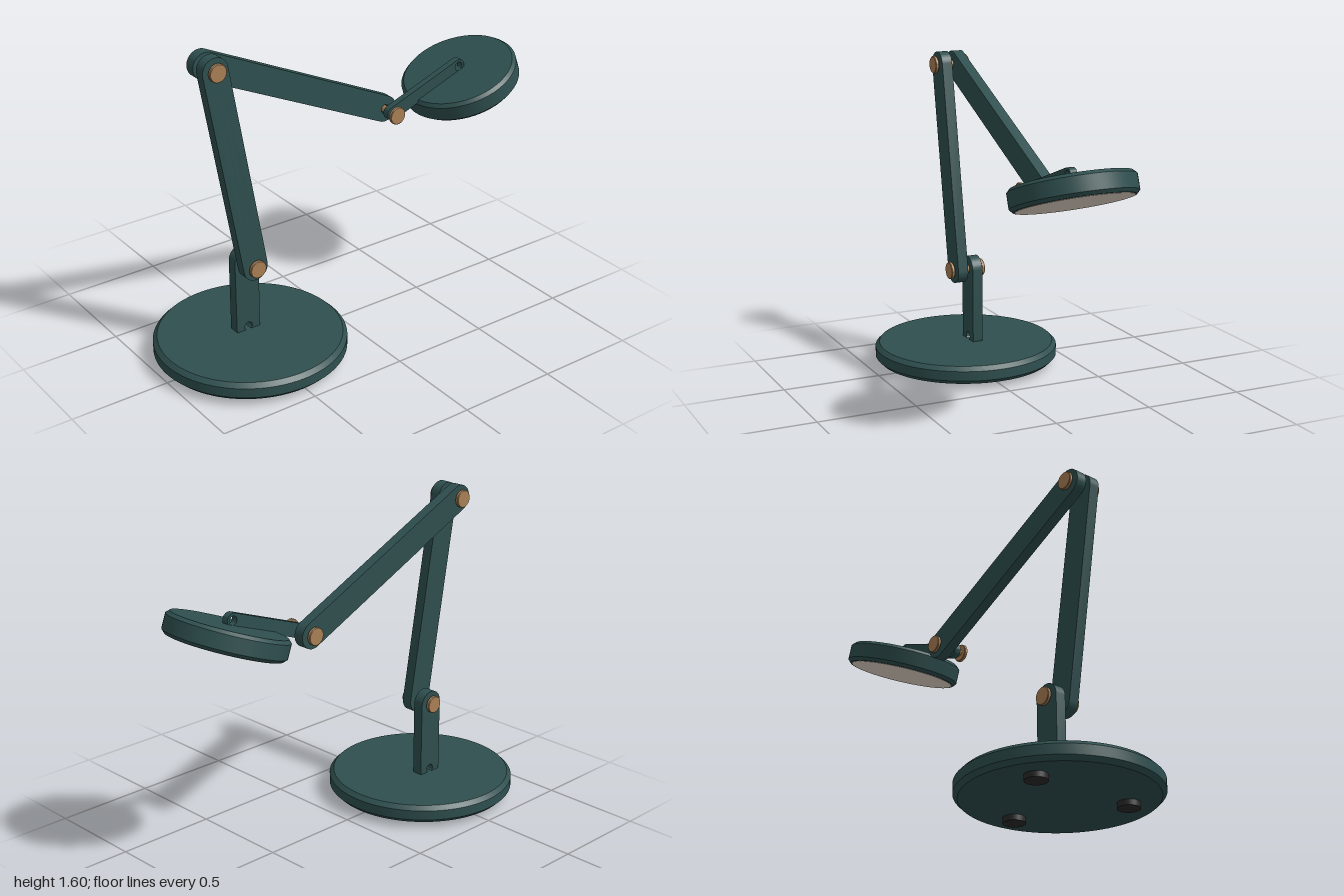
import * as THREE from 'three';
import { toCreasedNormals } from 'three/addons/utils/BufferGeometryUtils.js';

const mat = (name, color) => {
  const m = new THREE.MeshStandardMaterial({ color });
  m.name = name;
  return m;
};

export function createModel() {
  const teal = mat('dark teal', 0x2f4f4f);
  const copper = mat('copper', 0xaa8055);
  const rubber = mat('black rubber', 0x2a2a2a);
  const cream = mat('cream diffuser', 0xf0e5d3);

  const model = new THREE.Group();
  model.name = 'deskLamp';

  const add = (parent, name, geometry, material, x = 0, y = 0, z = 0) => {
    const mesh = new THREE.Mesh(geometry, material);
    mesh.name = name;
    mesh.position.set(x, y, z);
    parent.add(mesh);
    return mesh;
  };

  // Disc with chamfered rims, centred on its own axis
  const chamferedDisc = (r, h, c) => {
    const profile = [[0, -h / 2], [r - c, -h / 2], [r, c - h / 2], [r, h / 2 - c], [r - c, h / 2], [0, h / 2]];
    const lathe = new THREE.LatheGeometry(profile.map(([x, y]) => new THREE.Vector2(x, y)), 96);
    return toCreasedNormals(lathe, 0.5);
  };

  // Flat bar with round ends and a hole at each pivot, running from a to b
  const addLink = (name, a, b, r, thickness, z) => {
    const length = Math.hypot(b[0] - a[0], b[1] - a[1]);
    const shape = new THREE.Shape();
    shape.absarc(0, 0, r, Math.PI / 2, Math.PI * 1.5, false);
    shape.absarc(length, 0, r, -Math.PI / 2, Math.PI / 2, false);
    shape.closePath();
    for (const x of [0, length]) {
      shape.holes.push(new THREE.Path().absarc(x, 0, 0.022, 0, Math.PI * 2, true));
    }
    const bar = new THREE.ExtrudeGeometry(shape, { depth: thickness, bevelEnabled: false, curveSegments: 24 });
    bar.translate(0, 0, -thickness / 2);
    const mesh = add(model, name, toCreasedNormals(bar, 0.5), teal, a[0], a[1], z);
    mesh.rotation.z = Math.atan2(b[1] - a[1], b[0] - a[0]);
  };

  // Pivot bolt: thin shaft along z with a flat head on both ends
  const addBolt = (name, [x, y]) => {
    const bolt = new THREE.Group();
    bolt.name = name;
    bolt.position.set(x, y, 0);
    bolt.rotation.x = Math.PI / 2;
    add(bolt, 'boltShaft', new THREE.CylinderGeometry(0.018, 0.018, 0.17, 24), copper);
    for (const s of [-1, 1]) {
      add(bolt, 'boltHead', chamferedDisc(0.044, 0.018, 0.003), copper, 0, s * 0.084, 0);
    }
    model.add(bolt);
  };

  // Pivot points in the x, y plane
  const foot = [-0.53, 0.135];
  const elbow = [-0.53, 0.497];
  const top = [-0.711, 1.537];
  const wrist = [0.286, 1.07];
  const neck = [0.688, 1.219];

  // Weighted base on three rubber feet
  add(model, 'base', chamferedDisc(0.47, 0.091, 0.021), teal, foot[0], 0.0725, 0);
  for (let i = 0; i < 3; i++) {
    const angle = (i * Math.PI * 2) / 3;
    add(model, 'rubberFoot', new THREE.CylinderGeometry(0.053, 0.053, 0.03, 32), rubber,
      foot[0] + 0.31 * Math.cos(angle), 0.015, 0.31 * Math.sin(angle));
  }

  // Arms alternate between the back and front plane
  addLink('stem', foot, elbow, 0.066, 0.054, -0.04);
  addLink('lowerArm', elbow, top, 0.066, 0.054, 0.04);
  addLink('upperArm', top, wrist, 0.066, 0.054, -0.04);
  addLink('headArm', wrist, neck, 0.035, 0.034, 0.038);

  addBolt('elbowBolt', elbow);
  addBolt('topBolt', top);
  addBolt('wristBolt', wrist);

  // Lamp head, tilted with the head arm
  const head = new THREE.Group();
  head.name = 'lampHead';
  head.position.set(neck[0], neck[1], 0.038);
  head.rotation.z = Math.atan2(neck[1] - wrist[1], neck[0] - wrist[0]);
  add(head, 'headShell', chamferedDisc(0.29, 0.104, 0.016), teal, 0, -0.074, 0);
  add(head, 'diffuser', new THREE.CylinderGeometry(0.267, 0.267, 0.006, 96), cream, 0, -0.125, 0);
  model.add(head);

  return model;
}
